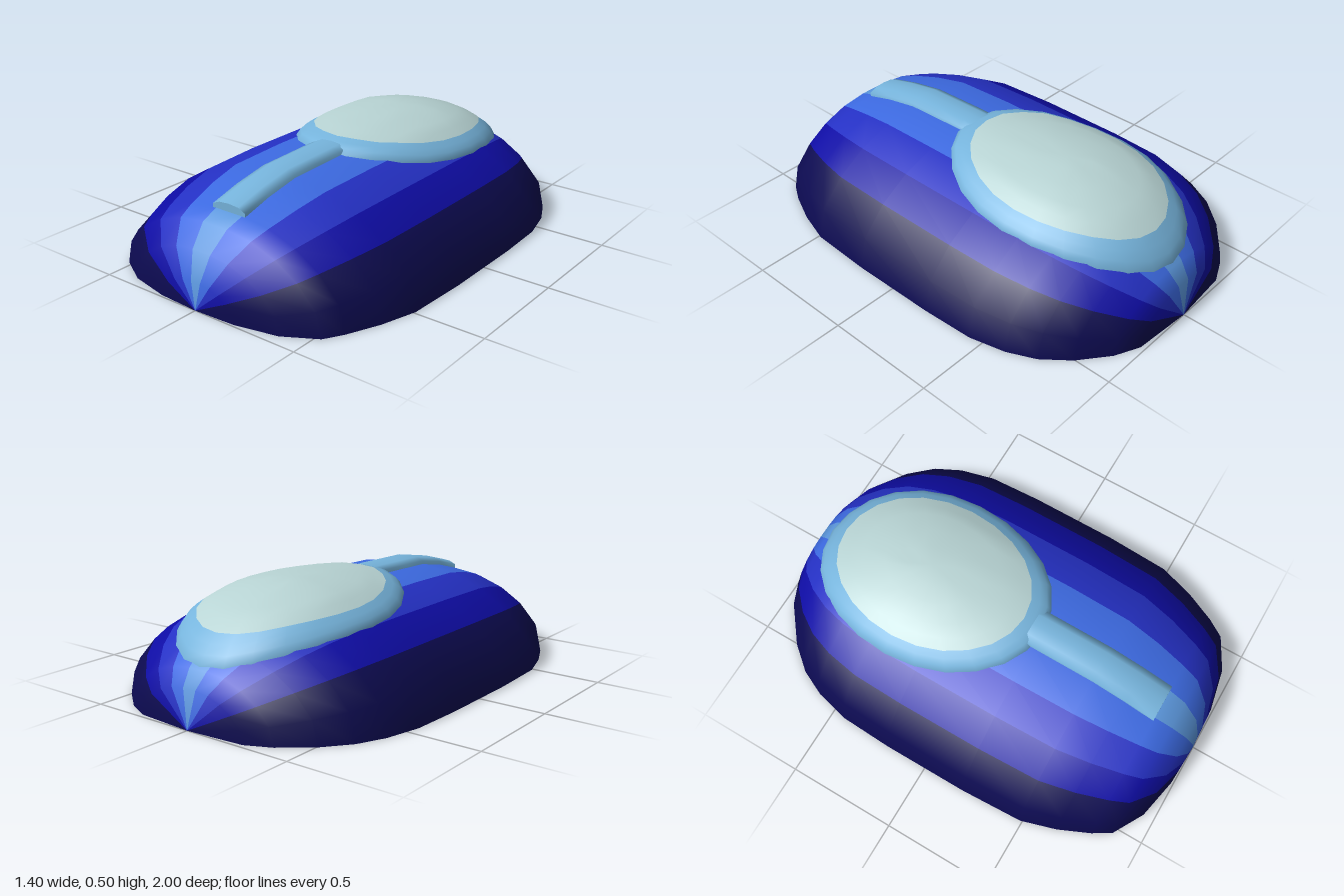
import * as THREE from 'three';
import { mergeVertices } from 'three/addons/utils/BufferGeometryUtils.js';

const paint = (name, color) => {
  const m = new THREE.MeshStandardMaterial({ color });
  m.name = name;
  return m;
};
const navy = paint('navy', 0x0c0a50);
const deepBlue = paint('deep blue', 0x0e0ca4);
const royalBlue = paint('royal blue', 0x2430c4);
const brightBlue = paint('bright blue', 0x3c6ae2);
const skyBlue = paint('sky blue', 0x5c98de);
const paleBlue = paint('pale blue', 0x76b4dc);
const greyGreen = paint('pale grey green', 0xb8d4d4);

// Half of the arched cross-section, from the centre band to the ground
const ARCH = [[0.085, 0.42], [0.25, 0.4], [0.41, 0.345], [0.55, 0.26], [0.665, 0.14], [0.7, 0]];
// Scale of the arch along z, from front tip to back tip
const TAPER = [[1, 0], [0.99, 0.28], [0.95, 0.55], [0.87, 0.75], [0.79, 0.82], [0.65, 0.91], [0.49, 0.98],
  [0.2, 1], [-0.2, 1], [-0.44, 0.985], [-0.6, 0.93], [-0.72, 0.85], [-0.83, 0.72], [-0.93, 0.54],
  [-0.98, 0.385], [-1, 0]];

// Straight-line interpolation in a list of [input, output] pairs
function lookUp(table, v) {
  for (let i = 1; i < table.length; i++) {
    const [a, p] = table[i - 1], [b, q] = table[i];
    if ((v - a) * (v - b) <= 0) return p + (q - p) * (v - a) / (b - a);
  }
  return table[table.length - 1][1];
}
const ARCH_FULL = [[0, 0.42], ...ARCH];
function bodyHeight(x, z) {
  const s = Math.max(lookUp(TAPER, z), 0.01);
  return s * lookUp(ARCH_FULL, Math.abs(x) / s);
}

// Smooth surface of rows x cols points; the quads of one column form one group
function grid(rows, cols, point, materialOf = () => 0) {
  const pos = [], index = [], groups = [];
  for (let i = 0; i < rows; i++) for (let j = 0; j < cols; j++) pos.push(...point(i, j));
  for (let j = 0; j < cols - 1; j++) {
    groups.push([index.length, (rows - 1) * 6, materialOf(j)]);
    for (let i = 0; i < rows - 1; i++) {
      const a = i * cols + j, b = a + cols;
      index.push(a, b, a + 1, b, b + 1, a + 1);
    }
  }
  let g = new THREE.BufferGeometry();
  g.setAttribute('position', new THREE.Float32BufferAttribute(pos, 3));
  g.setIndex(index);
  g = mergeVertices(g, 1e-5);
  groups.forEach((p) => g.addGroup(...p));
  g.computeVertexNormals();
  return g;
}

export function createModel() {
  const model = new THREE.Group();
  const add = (name, geometry, material) => {
    const mesh = new THREE.Mesh(geometry, material);
    mesh.name = name;
    model.add(mesh);
    return mesh;
  };

  // Shell in lengthwise bands that meet at both tips
  const section = [...ARCH].reverse().concat(ARCH.map(([x, y]) => [-x, y]));
  const bands = [0, 0, 1, 2, 3, 4, 3, 2, 1, 0, 0];
  add('shell', grid(TAPER.length, section.length, (i, j) => {
    const [z, s] = TAPER[i];
    return [section[j][0] * s, section[j][1] * s, z];
  }, (j) => bands[j]), [navy, deepBlue, royalBlue, brightBlue, skyBlue]);

  // Flat underside
  const outline = TAPER.map(([z, s]) => new THREE.Vector2(0.7 * s, z));
  const mirrored = outline.slice(1, -1).reverse().map((p) => new THREE.Vector2(-p.x, p.y));
  add('underside', new THREE.ShapeGeometry(new THREE.Shape([...outline, ...mirrored])).rotateX(Math.PI / 2), navy);

  // Raised oval dome that follows the shell: a pale top inside a blue rim
  const SEGMENTS = 24;
  const domePoint = (r, j, sink = 0) => {
    const a = (j / SEGMENTS) * Math.PI * 2;
    const x = 0.41 * r * Math.cos(a), z = -0.36 - 0.56 * r * Math.sin(a);
    return [x, bodyHeight(x, z) + 0.004 + 0.074 * Math.sqrt(Math.max(0, 1 - r * r)) - sink, z];
  };
  const topRings = [0, 0.2, 0.4, 0.6, 0.72, 0.83];
  add('domeTop', grid(topRings.length, SEGMENTS + 1, (i, j) => domePoint(topRings[i], j)), greyGreen);
  const rimRings = [0.83, 0.9, 0.96, 1, 1];
  add('domeRim', grid(rimRings.length, SEGMENTS + 1,
    (i, j) => domePoint(rimRings[i], j, i === 4 ? 0.03 : 0)), paleBlue);

  // Raised strip running from the dome towards the front
  const strip = [[0.085, -0.03], [0.085, 0.016], [0.05, 0.031], [0, 0.035],
    [-0.05, 0.031], [-0.085, 0.016], [-0.085, -0.03]];
  const stripZ = [0.79, 0.65, 0.49, 0.35, 0.2, 0.12];
  const stripBase = (z) => bodyHeight(0, z);
  add('strip', grid(stripZ.length, strip.length,
    (i, j) => [strip[j][0], stripBase(stripZ[i]) + strip[j][1], stripZ[i]]), paleBlue);
  const end = new THREE.Shape(strip.map(([x, y]) => new THREE.Vector2(x, y)));
  add('stripEnd', new THREE.ShapeGeometry(end), paleBlue).position.set(0, stripBase(0.79), 0.79);

  return model;
}
